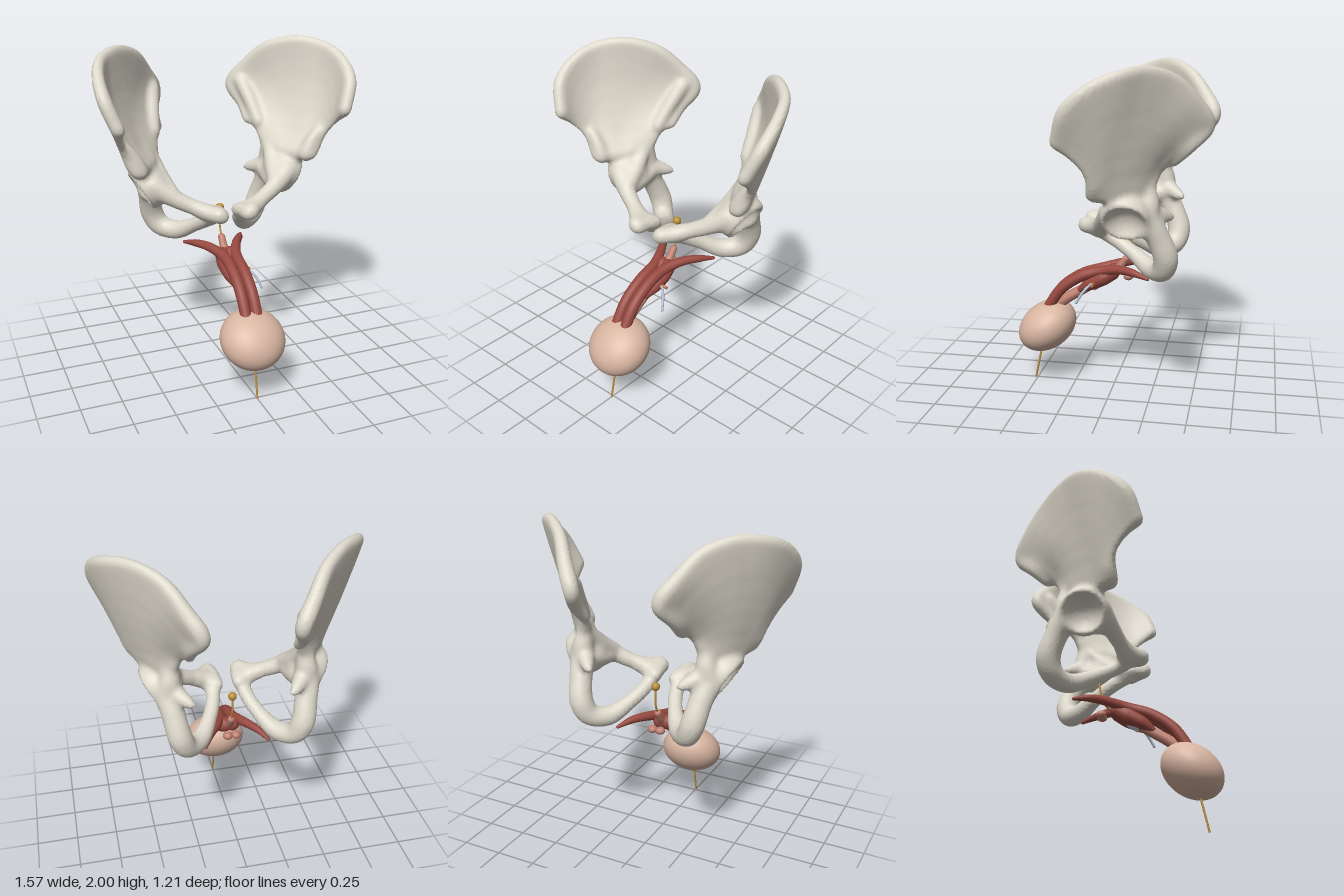
import * as THREE from 'three';

const mat = (color) => new THREE.MeshStandardMaterial({ color, roughness: 0.75 });
const BONE = mat(0xdcd7ca), RED = mat(0x96483f), PINK = mat(0xbd7f6f), SKIN = mat(0xd8b5a2);
const GOLD = mat(0xb98d38), STEEL = mat(0xcccccc), BLUE = mat(0xaebccd), ORANGE = mat(0xc07a48);

const V = (p) => new THREE.Vector3(p[0], p[1], p[2]);
const curve = (pts) => new THREE.CatmullRomCurve3(pts.map(V));

function add(parent, name, geometry, material, pos) {
  const m = new THREE.Mesh(geometry, material);
  m.name = name;
  if (pos) m.position.set(...pos);
  parent.add(m);
  return m;
}

// Linear lookup in a list of radii, t from 0 to 1
function radiusAt(list, t) {
  const s = Math.min(t, 1) * (list.length - 1), i = Math.min(Math.floor(s), list.length - 2);
  return list[i] + (list[i + 1] - list[i]) * (s - i);
}

// Smooth tube through points [x, y, z, r] with rounded ends
function softTube(parent, name, pts, material, sides = 18) {
  const g = new THREE.Group(), c = curve(pts), radii = pts.map((p) => p[3]), n = pts.length * 8;
  const tube = new THREE.TubeGeometry(c, n, 1, sides), pos = tube.attributes.position;
  for (let i = 0; i <= n; i++) {
    const centre = c.getPointAt(i / n), r = radiusAt(radii, c.getUtoTmapping(i / n));
    for (let j = 0; j <= sides; j++) {
      const k = i * (sides + 1) + j;
      const v = new THREE.Vector3().fromBufferAttribute(pos, k).sub(centre).multiplyScalar(r).add(centre);
      pos.setXYZ(k, v.x, v.y, v.z);
    }
  }
  tube.computeVertexNormals();
  g.name = name;
  add(g, name + 'Body', tube, material);
  for (const p of [pts[0], pts[pts.length - 1]]) {
    add(g, name + 'End', new THREE.SphereGeometry(p[3], sides, 12), material, p.slice(0, 3));
  }
  parent.add(g);
}

// Hip bone: strokes of round brush dabs in a distance field, blurred and skinned
function hipBoneGeometry() {
  const h = 0.014, O = [-0.02, 0.7, -0.69], N = [63, 98, 71];
  const S = [1, N[0], N[0] * N[1]], CAP = 0.06;
  let f = new Float32Array(N[0] * N[1] * N[2]).fill(CAP);

  function eachNear(p, reach, fn) {
    const lo = O.map((o, a) => Math.max(0, Math.floor((p[a] - reach - o) / h)));
    const hi = O.map((o, a) => Math.min(N[a] - 1, Math.ceil((p[a] + reach - o) / h)));
    for (let k = lo[2]; k <= hi[2]; k++) for (let j = lo[1]; j <= hi[1]; j++) for (let i = lo[0]; i <= hi[0]; i++) {
      fn(i + j * S[1] + k * S[2], Math.hypot(O[0] + i * h - p[0], O[1] + j * h - p[1], O[2] + k * h - p[2]));
    }
  }
  const dab = (p, r) => eachNear(p, r + CAP, (i, d) => { f[i] = Math.min(f[i], d - r); });
  function stroke(pts) {
    const c = curve(pts), radii = pts.map((p) => p[3]), n = pts.length * 14;
    for (let i = 0; i <= n; i++) dab(c.getPoint(i / n).toArray(), radiusAt(radii, i / n));
  }

  // Wing: columns run from the crest through the hollow to the root
  const crest = curve([[0.685, 1.61, 0.18], [0.742, 1.77, 0.12], [0.74, 1.88, 0], [0.685, 1.945, -0.14],
    [0.56, 1.965, -0.27], [0.425, 1.91, -0.4], [0.335, 1.79, -0.5], [0.262, 1.665, -0.562], [0.3, 1.555, -0.475], [0.3, 1.465, -0.385]]);
  const hollow = curve([[0.63, 1.45, 0.045], [0.64, 1.6, -0.065], [0.54, 1.63, -0.22], [0.42, 1.57, -0.33], [0.335, 1.43, -0.32]]);
  const root = curve([[0.55, 1.315, 0.025], [0.5, 1.31, -0.06], [0.45, 1.31, -0.14], [0.385, 1.33, -0.25]]);
  for (let i = 0; i <= 110; i++) {
    const u = i / 110, a = crest.getPointAt(u), m = hollow.getPointAt(u), b = root.getPointAt(u);
    const ctrl = m.clone().multiplyScalar(2).addScaledVector(a, -0.5).addScaledVector(b, -0.5);
    const column = new THREE.QuadraticBezierCurve3(a, ctrl, b);
    const edge = radiusAt([0.04, 0.042, 0.036, 0.034, 0.034, 0.036, 0.042, 0.048, 0.04, 0.032], u);
    const foot = radiusAt([0.038, 0.055, 0.06, 0.045], u);
    for (let j = 0; j <= 48; j++) {
      dab(column.getPoint(j / 48).toArray(), radiusAt([edge, 0.027, 0.022, 0.022, 0.026, 0.036, foot], j / 48));
    }
  }
  // Front lower spine and the thick rear joint area
  stroke([[0.6, 1.46, 0.015, 0.03], [0.55, 1.38, 0.012, 0.042], [0.525, 1.315, 0.01, 0.05]]);
  stroke([[0.3, 1.69, -0.49, 0.05], [0.325, 1.58, -0.4, 0.045], [0.345, 1.46, -0.31, 0.04]]);
  // Socket body and its inner wall
  dab([0.452, 1.17, -0.143], 0.142);
  stroke([[0.385, 1.33, -0.25, 0.045], [0.395, 1.25, -0.26, 0.062], [0.41, 1.18, -0.25, 0.07]]);
  stroke([[0.385, 1.32, -0.22, 0.045], [0.36, 1.22, -0.12, 0.05], [0.335, 1.15, -0.01, 0.05]]);
  stroke([[0.365, 1.16, -0.24, 0.055], [0.355, 1.14, -0.14, 0.055], [0.345, 1.13, -0.05, 0.052]]);
  // Seat bone and lower ramus
  stroke([[0.41, 1.18, -0.24, 0.075], [0.385, 1.05, -0.315, 0.068], [0.36, 0.93, -0.355, 0.072], [0.32, 0.85, -0.335, 0.066],
    [0.235, 0.828, -0.26, 0.06], [0.155, 0.888, -0.15, 0.046], [0.107, 0.948, -0.045, 0.045], [0.09, 1.0, 0.05, 0.046]]);
  // Spine at the notch
  stroke([[0.37, 1.19, -0.28, 0.055], [0.32, 1.165, -0.34, 0.04], [0.283, 1.15, -0.382, 0.022]]);
  // Upper ramus, joint body and joint face
  stroke([[0.43, 1.2, -0.06, 0.07], [0.33, 1.13, -0.005, 0.054], [0.22, 1.075, 0.045, 0.047],
    [0.14, 1.045, 0.105, 0.05], [0.1, 1.043, 0.155, 0.05]]);
  stroke([[0.2, 1.065, 0.05, 0.05], [0.13, 1.03, 0.07, 0.058], [0.09, 1.02, 0.04, 0.048]]);
  stroke([[0.087, 1.035, 0.155, 0.048], [0.075, 1.03, 0.08, 0.044], [0.066, 1.02, 0.02, 0.04]]);
  // Socket cup
  eachNear([0.535, 1.118, -0.143], 0.125 + CAP, (i, d) => { f[i] = Math.max(f[i], 0.125 - d); });

  // Blur to blend the strokes
  for (let pass = 0; pass < 2; pass++) for (const s of S) {
    const g = f.slice();
    for (let i = s; i < f.length - s; i++) g[i] = (f[i - s] + 2 * f[i] + f[i + s]) / 4;
    f = g;
  }

  // Skin: one vertex per crossed cell, one quad per crossed edge
  const ids = new Int32Array(f.length).fill(-1), verts = [], index = [];
  const corners = [0, 1, 2, 3, 4, 5, 6, 7].map((c) => [c & 1, (c >> 1) & 1, c >> 2]);
  const offset = corners.map((c) => c[0] + c[1] * S[1] + c[2] * S[2]);
  for (let k = 0; k < N[2] - 1; k++) for (let j = 0; j < N[1] - 1; j++) for (let i = 0; i < N[0] - 1; i++) {
    const at = i + j * S[1] + k * S[2], sum = [0, 0, 0];
    let count = 0;
    for (let c = 0; c < 8; c++) for (let a = 0; a < 3; a++) {
      if (corners[c][a]) continue;
      const p = f[at + offset[c]], q = f[at + offset[c] + S[a]];
      if ((p < 0) === (q < 0)) continue;
      for (let b = 0; b < 3; b++) sum[b] += corners[c][b] + (a === b ? p / (p - q) : 0);
      count++;
    }
    if (!count) continue;
    ids[at] = verts.length / 3;
    [i, j, k].forEach((cell, a) => verts.push(O[a] + (cell + sum[a] / count) * h));
  }
  for (let at = S[2] + S[1] + 1; at < f.length - S[2]; at++) for (let a = 0; a < 3; a++) {
    const inside = f[at] < 0;
    if (inside === (f[at + S[a]] < 0)) continue;
    const b = S[(a + 1) % 3], c = S[(a + 2) % 3];
    const q = [ids[at - b - c], ids[at - c], ids[at], ids[at - b]];
    if (q.some((id) => id < 0)) continue;
    if (!inside) q.reverse();
    index.push(q[0], q[1], q[2], q[0], q[2], q[3]);
  }
  const geo = new THREE.BufferGeometry();
  geo.setAttribute('position', new THREE.Float32BufferAttribute(verts, 3));
  geo.setIndex(index);
  geo.computeVertexNormals();
  return geo;
}

export function createModel() {
  const model = new THREE.Group();
  model.name = 'pelvisModel';

  // Paired hip bones
  const left = hipBoneGeometry(), right = left.clone().scale(-1, 1, 1);
  right.setIndex(Array.from(left.index.array).reverse());
  right.computeVertexNormals();
  add(model, 'leftHipBone', left, BONE);
  add(model, 'rightHipBone', right, BONE);

  // Paired soft tissue
  for (const s of [1, -1]) {
    const side = s > 0 ? 'left' : 'right';
    softTube(model, side + 'Cavernosum', [[s * 0.034, 0.47, 0.425, 0.033], [s * 0.034, 0.61, 0.33, 0.034],
      [s * 0.034, 0.7, 0.2, 0.034], [s * 0.04, 0.742, 0.07, 0.033], [s * 0.09, 0.768, -0.05, 0.028],
      [s * 0.145, 0.768, -0.14, 0.023], [s * 0.19, 0.75, -0.23, 0.01]], RED);
    softTube(model, side + 'BulbMuscle', [[s * 0.024, 0.73, 0.01, 0.046], [s * 0.03, 0.695, 0.07, 0.05],
      [s * 0.028, 0.65, 0.15, 0.04], [s * 0.018, 0.61, 0.21, 0.02]], RED);
    add(model, side + 'Gland', new THREE.SphereGeometry(0.03, 20, 14), PINK, [s * 0.026, 0.712, -0.09]).scale.y = 0.8;
  }

  // Central duct, its cuff and the guide wire
  softTube(model, 'duct', [[0, 0.815, -0.07, 0.022], [0, 0.75, -0.02, 0.025], [0, 0.67, 0.1, 0.032],
    [0, 0.6, 0.21, 0.032], [0, 0.53, 0.32, 0.034], [0, 0.44, 0.41, 0.034]], PINK);
  const cuff = add(model, 'cuff', new THREE.CylinderGeometry(0.046, 0.046, 0.07, 28), STEEL, [0, 0.662, 0.115]);
  cuff.rotation.x = Math.PI / 2 + 0.57;
  const wire = curve([[0, 1, -0.1], [0, 0.88, -0.1], [0, 0.78, -0.045], [0, 0.67, 0.1], [0, 0.53, 0.32],
    [0, 0.4, 0.42], [0, 0.2, 0.47], [0, 0, 0.513]]);
  add(model, 'guideWire', new THREE.TubeGeometry(wire, 80, 0.006, 8), GOLD);
  add(model, 'wireKnob', new THREE.SphereGeometry(0.026, 20, 14), GOLD, [0, 1, -0.1]);

  // Small side line with its connector
  softTube(model, 'sideLine', [[0.04, 0.66, 0.12, 0.008], [0.085, 0.662, 0.135, 0.008], [0.12, 0.635, 0.165, 0.008],
    [0.14, 0.6, 0.19, 0.008], [0.152, 0.565, 0.21, 0.008]], BLUE, 10);
  const link = add(model, 'lineConnector', new THREE.CylinderGeometry(0.009, 0.009, 0.04, 12), ORANGE, [0.092, 0.664, 0.12]);
  link.rotation.z = Math.PI / 2;

  // Rounded end
  const end = add(model, 'roundedEnd', new THREE.SphereGeometry(1, 48, 32), SKIN, [0, 0.356, 0.43]);
  end.scale.set(0.195, 0.146, 0.195);
  end.rotation.x = 0.61;

  return model;
}
